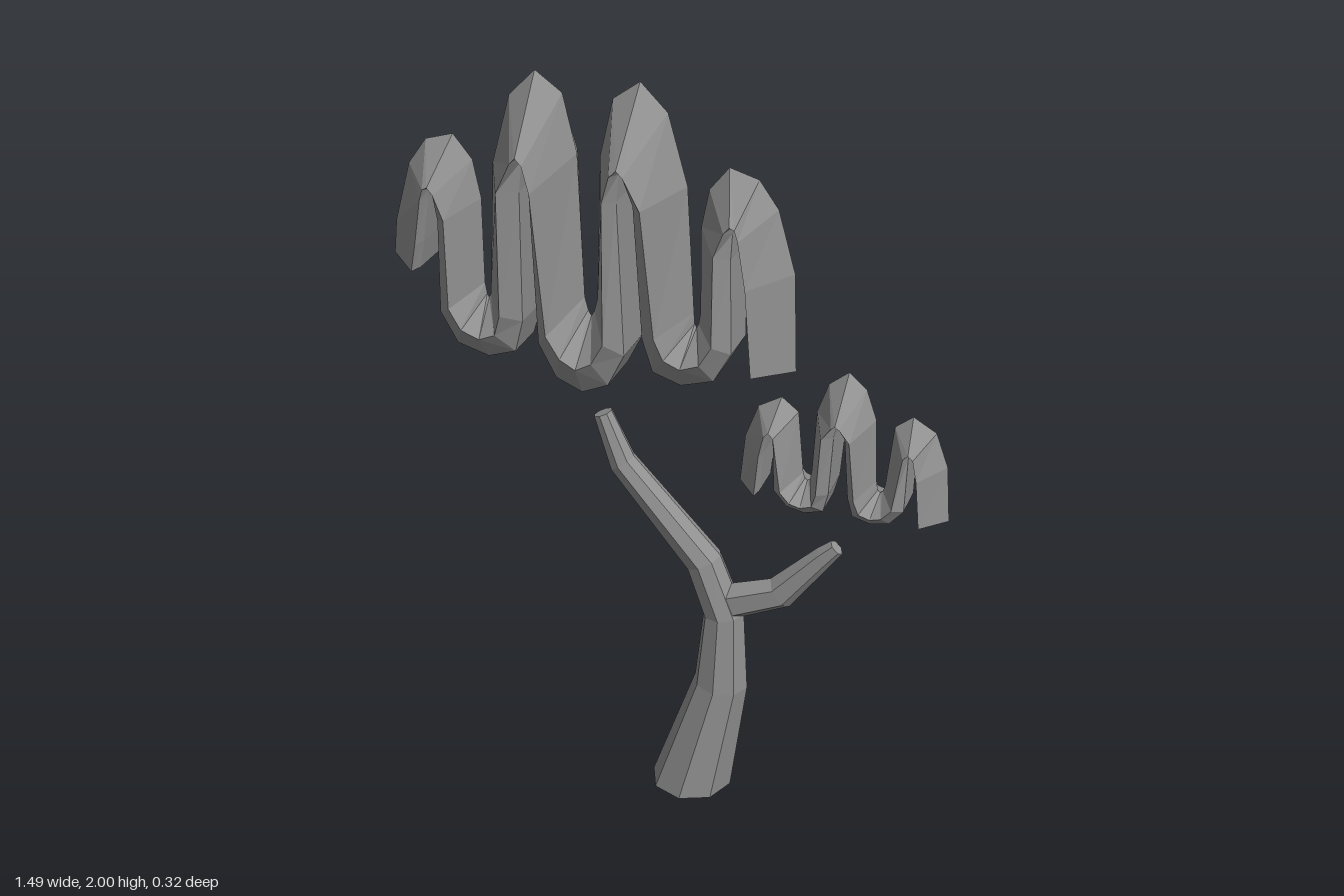
import * as THREE from 'three';

const material = new THREE.MeshStandardMaterial({ color: 0x909090, flatShading: true, side: THREE.DoubleSide });

// Skin a list of rings (each wound counter-clockwise about the travel direction); the start may stay open
function loft(name, rings, openStart) {
  const pos = [];
  const tri = (a, b, c) => [a, b, c].forEach((p) => pos.push(p.x, p.y, p.z));
  const n = rings[0].length;
  for (let i = 0; i < rings.length - 1; i++) {
    for (let j = 0; j < n; j++) {
      const k = (j + 1) % n;
      tri(rings[i][j], rings[i][k], rings[i + 1][k]);
      tri(rings[i][j], rings[i + 1][k], rings[i + 1][j]);
    }
  }
  const last = rings[rings.length - 1];
  for (let j = 1; j < n - 1; j++) {
    if (!openStart) tri(rings[0][0], rings[0][j + 1], rings[0][j]);
    tri(last[0], last[j], last[j + 1]);
  }
  const geometry = new THREE.BufferGeometry();
  geometry.setAttribute('position', new THREE.Float32BufferAttribute(pos, 3));
  geometry.computeVertexNormals();
  const mesh = new THREE.Mesh(geometry, material);
  mesh.name = name;
  return mesh;
}

// Tapered limb; each station is [x, y, radius, lean of the travel direction from vertical in radians]
function limb(name, stations, sides, depth) {
  return loft(name, stations.map(([x, y, r, lean]) =>
    Array.from({ length: sides }, (_, j) => {
      const a = (j / sides) * Math.PI * 2;
      const u = r * Math.cos(a);
      return new THREE.Vector3(x - u * Math.cos(lean), y + u * Math.sin(lean), r * depth * Math.sin(a));
    })), true);
}

// Winding foliage; each station is [ridge x, ridge y, flat x, flat y, half depth, shoulder position]
// where the shoulder position runs from 0 at the flat side to 1 at the ridge
function foliage(name, stations) {
  return loft(name, stations.map(([rx, ry, fx, fy, d, s]) => {
    const mx = fx + (rx - fx) * s, my = fy + (ry - fy) * s;
    return [
      new THREE.Vector3(rx, ry, 0),
      new THREE.Vector3(mx, my, d),
      new THREE.Vector3(fx, fy, d * 0.62),
      new THREE.Vector3(fx, fy, -d * 0.62),
      new THREE.Vector3(mx, my, -d),
    ];
  }), false);
}

// Complete a half wave by mirroring it about x = axis (the last station lies on the axis)
function mirrored(half, axis, endY) {
  const other = half.slice(0, -1).reverse()
    .map(([rx, ry, fx, fy, d, s]) => [2 * axis - rx, ry, 2 * axis - fx, fy, d, s]);
  const end = other[other.length - 1];
  end[1] = endY;
  end[3] = endY + 0.01;
  return [...half, ...other];
}

export function createModel() {
  const group = new THREE.Group();

  // Trunk and side branch
  group.add(limb('trunk', [
    [0.07, 0, 0.112, 0],
    [0.152, 0.34, 0.074, 0.1],
    [0.157, 0.56, 0.056, -0.1],
    [0.1, 0.71, 0.051, -0.45],
    [-0.125, 0.965, 0.038, -0.6],
    [-0.178, 1.1, 0.026, -0.4],
  ], 8, 1));
  group.add(limb('branch', [
    [0.17, 0.596, 0.053, 1.1],
    [0.31, 0.652, 0.046, 0.95],
    [0.425, 0.785, 0.029, 0.75],
    [0.457, 0.818, 0.023, 0.8],
  ], 6, 0.82));

  // Large crown: outer lobe, valley, tall lobe, middle valley, then mirrored
  const large = [
    [-0.745, 1.47, -0.645, 1.465, 0.095, 0.1],
    [-0.735, 1.56, -0.63, 1.54, 0.1, 0.08],
    [-0.69, 1.72, -0.612, 1.66, 0.1, 0.08],
    [-0.64, 1.79, -0.607, 1.685, 0.1, 0.08],
    [-0.565, 1.812, -0.6, 1.69, 0.1, 0.08],
    [-0.515, 1.75, -0.594, 1.67, 0.1, 0.15],
    [-0.495, 1.65, -0.59, 1.6, 0.1, 0.35],
    [-0.495, 1.42, -0.595, 1.35, 0.1, 0.4],
    [-0.49, 1.39, -0.55, 1.27, 0.1, 0.45],
    [-0.485, 1.38, -0.465, 1.245, 0.1, 0.45],
    [-0.48, 1.39, -0.39, 1.27, 0.1, 0.45],
    [-0.478, 1.42, -0.365, 1.36, 0.112, 0.4],
    [-0.46, 1.75, -0.352, 1.72, 0.15, 0.35],
    [-0.41, 1.93, -0.342, 1.8, 0.155, 0.1],
    [-0.34, 2, -0.333, 1.82, 0.157, 0.05],
    [-0.27, 1.95, -0.32, 1.8, 0.16, 0.08],
    [-0.235, 1.8, -0.313, 1.73, 0.162, 0.2],
    [-0.222, 1.42, -0.32, 1.31, 0.125, 0.4],
    [-0.213, 1.385, -0.275, 1.22, 0.12, 0.45],
    [-0.205, 1.37, -0.205, 1.19, 0.12, 0.45],
  ];
  group.add(foliage('largeCrown', mirrored(large, -0.205, 1.3)));

  // Small crown: outer lobe, valley, central lobe, then mirrored
  const small = [
    [0.195, 0.97, 0.262, 0.975, 0.08, 0.1],
    [0.207, 1.1, 0.272, 1.09, 0.085, 0.08],
    [0.24, 1.19, 0.282, 1.145, 0.085, 0.08],
    [0.3, 1.225, 0.29, 1.155, 0.085, 0.08],
    [0.345, 1.19, 0.296, 1.14, 0.085, 0.15],
    [0.362, 1.02, 0.3, 0.985, 0.085, 0.4],
    [0.367, 1.005, 0.335, 0.945, 0.085, 0.45],
    [0.373, 1, 0.382, 0.935, 0.085, 0.45],
    [0.38, 1.005, 0.43, 0.948, 0.085, 0.45],
    [0.384, 1.03, 0.443, 1, 0.092, 0.4],
    [0.392, 1.2, 0.454, 1.17, 0.11, 0.35],
    [0.42, 1.28, 0.462, 1.21, 0.115, 0.1],
    [0.47, 1.32, 0.468, 1.22, 0.118, 0.05],
  ];
  group.add(foliage('smallCrown', mirrored(small, 0.468, 0.95)));

  return group;
}
